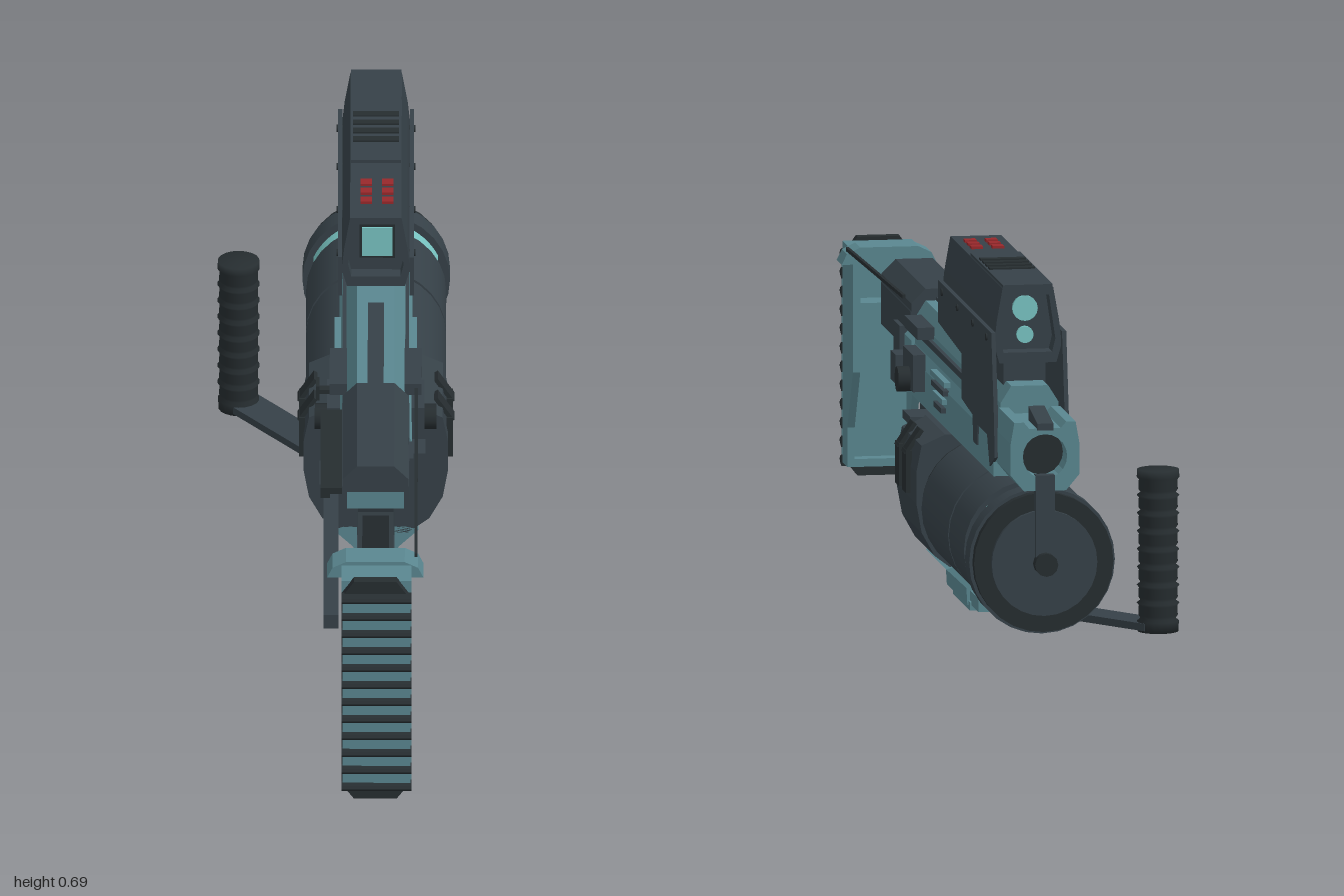
import * as THREE from 'three';

const CX = 0.075; // centre line of the launcher

export function createModel() {
  const root = new THREE.Group();
  root.name = 'launcher';
  const mat = (name, color) => {
    const m = new THREE.MeshStandardMaterial({ color });
    m.name = name;
    return m;
  };
  const dark = mat('dark slate', 0x364148);
  const black = mat('black rubber', 0x262d30);
  const blue = mat('steel blue', 0x5a8790);
  const teal = mat('bright teal', 0x78c4c2);
  const red = mat('signal red', 0x98282b);

  const add = (name, geo, m) => {
    const mesh = new THREE.Mesh(geo, m);
    mesh.name = name;
    root.add(mesh);
    return mesh;
  };
  const toShape = (pts) => new THREE.Shape(pts.map(([a, b]) => new THREE.Vector2(a, b)));
  const extrude = (shape, depth) =>
    new THREE.ExtrudeGeometry(shape, { depth, bevelEnabled: false, curveSegments: 10 });
  // box given by its limits
  const box = (name, x0, x1, y0, y1, z0, z1, m) => {
    const g = new THREE.BoxGeometry(x1 - x0, y1 - y0, z1 - z0);
    g.translate((x0 + x1) / 2, (y0 + y1) / 2, (z0 + z1) / 2);
    return add(name, g, m);
  };
  // outline in (z, y), extruded across x
  const side = (name, pts, x0, x1, m) => {
    const g = extrude(toShape(pts), x1 - x0);
    g.rotateY(-Math.PI / 2);
    g.translate(x1, 0, 0);
    return add(name, g, m);
  };
  // outline in (x, y), extruded along z
  const along = (name, pts, z0, z1, m, hole) => {
    const s = toShape(pts);
    if (hole) s.holes.push(hole);
    const g = extrude(s, z1 - z0);
    g.translate(0, 0, z0);
    return add(name, g, m);
  };
  // half outline given as (offset from centre line, y), mirrored
  const mirror = (half) => [
    ...half.map(([x, y]) => [CX + x, y]),
    ...half.slice().reverse().map(([x, y]) => [CX - x, y]),
  ];
  // cylinder lying along z
  const zCyl = (name, r, z0, z1, x, y, m, n = 28) => {
    const g = new THREE.CylinderGeometry(r, r, z1 - z0, n);
    g.rotateX(Math.PI / 2);
    g.translate(x, y, (z0 + z1) / 2);
    return add(name, g, m);
  };
  const xCyl = (name, r, x0, x1, y, z, m, n = 12) => {
    const g = new THREE.CylinderGeometry(r, r, x1 - x0, n);
    g.rotateZ(Math.PI / 2);
    g.translate((x0 + x1) / 2, y, z);
    return add(name, g, m);
  };

  // butt stock: hollow shell open toward the muzzle
  const buttSide = [[0.965, 0.07], [0.91, 0.07], [0.91, 0.145], [0.845, 0.26], [0.845, 0.49], [0.965, 0.49]];
  side('buttSideRight', buttSide, 0.012, 0.026, blue);
  side('buttSideLeft', buttSide, 0.129, 0.143, blue);
  box('buttBack', 0.026, 0.129, 0.07, 0.49, 0.94, 0.965, blue);
  box('buttTop', 0.026, 0.129, 0.472, 0.49, 0.845, 0.94, blue);
  box('buttBottom', 0.026, 0.129, 0.07, 0.085, 0.91, 0.94, blue);
  box('buttRib', 0.026, 0.129, 0.335, 0.385, 0.88, 0.94, blue);
  along('buttCap', mirror([[0.09, 0.465], [0.08, 0.485], [0.055, 0.497]]), 0.84, 0.9, blue);

  // ribbed butt pad
  along('buttPad', mirror([[0.04, 0.045], [0.063, 0.075], [0.063, 0.465], [0.04, 0.497]]), 0.963, 0.984, black);
  for (let i = 0; i < 12; i++) {
    const y = 0.072 + i * 0.0355;
    side('padRib', [[0.98, y - 0.011], [0.996, y - 0.005], [1, y], [0.996, y + 0.005], [0.98, y + 0.011]], 0.012, 0.143, black);
    if (i < 11) box('padStripe', 0.014, 0.141, y + 0.005, y + 0.031, 0.982, 0.988, blue);
  }

  // stock rods
  box('stockRod', -0.022, 0.006, 0.348, 0.376, 0.2, 0.88, dark);
  box('stockRodClamp', -0.03, 0.02, 0.34, 0.385, 0.25, 0.35, dark);
  side('stockWire', [[0.86, 0.488], [0.86, 0.495], [0.2, 0.512], [0.2, 0.505]], 0.148, 0.154, black);

  // rear slide cover
  along('slideTop', mirror([[0.062, 0.47], [0.062, 0.495], [0.035, 0.522]]), 0.2, 0.55, dark);
  side('slideSkirtLeft', [[0.55, 0.4], [0.38, 0.4], [0.34, 0.44], [0.2, 0.44], [0.2, 0.48], [0.55, 0.48]], 0.128, 0.138, dark);
  side('slideSkirtRight', [[0.55, 0.4], [0.38, 0.4], [0.34, 0.44], [0.2, 0.44], [0.2, 0.48], [0.55, 0.48]], 0.012, 0.022, dark);
  box('slideRail', -0.028, 0.014, 0.44, 0.452, 0.17, 0.5, black);
  for (let i = 0; i < 9; i++) box('railTooth', -0.028, -0.01, 0.425, 0.441, 0.19 + i * 0.035, 0.208 + i * 0.035, black);

  // receiver
  along('receiverUpper', mirror([[0.068, 0.33], [0.068, 0.4], [0.055, 0.42], [0.055, 0.468], [0.035, 0.5]]), -0.8, 0.2, blue);
  along('receiverRear', mirror([[0.062, 0.33], [0.062, 0.425], [0.045, 0.44]]), 0.2, 0.34, blue);
  box('receiverRearCap', 0.004, 0.146, 0.37, 0.44, 0.28, 0.352, dark);
  box('topGroove', 0.06, 0.09, 0.498, 0.506, -0.17, 0.2, dark);
  for (const s of [-1, 1]) {
    const a = CX + s * 0.058;
    box('sideGroove', a - 0.004, a + 0.004, 0.446, 0.458, -0.42, 0.2, dark);
    const b = CX + s * 0.079;
    box('rearHousing', b - 0.014, b + 0.014, 0.345, 0.4, 0.19, 0.25, dark);
    box('sideLatch', b - 0.012, b + 0.012, 0.36, 0.43, 0, 0.12, dark);
    xCyl('latchKnob', 0.024, CX + s * 0.1 - 0.014, CX + s * 0.1 + 0.014, 0.378, 0.05, black);
    box('topLever', CX + s * 0.07 - 0.016, CX + s * 0.07 + 0.016, 0.462, 0.485, -0.02, 0.13, dark);
    for (let i = 0; i < 4; i++) {
      const x = CX + s * 0.071;
      box('sideVent', x - 0.006, x + 0.006, 0.358 + i * 0.018, 0.368 + i * 0.018, -0.24 - i * 0.012, -0.15 + i * 0.012, i % 2 ? blue : dark);
    }
  }
  box('crossPin', -0.035, 0.02, 0.454, 0.462, 0.09, 0.11, black);
  box('crossPinHead', -0.037, -0.03, 0.445, 0.475, 0.08, 0.12, black);

  // muzzle block with bore
  const bore = new THREE.Path().absarc(CX, 0.395, 0.042, 0, Math.PI * 2, true);
  along('muzzleBlock', mirror([[0.04, 0.33], [0.065, 0.36], [0.065, 0.42], [0.058, 0.46], [0.04, 0.46], [0.03, 0.448]]), -0.98, -0.8, blue, bore);
  zCyl('boreLining', 0.043, -0.93, -0.8, CX, 0.395, black, 16);
  side('frontSight', [[-0.88, 0.445], [-0.985, 0.445], [-0.985, 0.458], [-0.88, 0.475]], 0.06, 0.09, dark);

  // sight housing with side plates
  const hood = mirror([[0.054, 0.54], [0.064, 0.575], [0.059, 0.62], [0.048, 0.682]]);
  const opening = new THREE.Path(mirror([[0.046, 0.56], [0.052, 0.585], [0.047, 0.62], [0.04, 0.668]])
    .map(([x, y]) => new THREE.Vector2(x, y)));
  along('sightBody', hood, -0.74, -0.2, dark);
  along('sightRearHood', hood, -0.2, -0.17, dark, opening);
  along('sightFrontHood', hood, -0.78, -0.74, dark, opening);
  box('sightRoof', 0.028, 0.122, 0.68, 0.688, -0.78, -0.4, dark);
  box('sightBase', 0.035, 0.115, 0.49, 0.545, -0.74, -0.42, dark);
  const plate = [[-0.17, 0.52], [-0.17, 0.6], [-0.79, 0.6], [-0.82, 0.45], [-0.83, 0.37], [-0.77, 0.345], [-0.74, 0.4],
    [-0.63, 0.4], [-0.62, 0.36], [-0.58, 0.36], [-0.57, 0.41], [-0.44, 0.42], [-0.44, 0.505]];
  for (const s of [-1, 1]) {
    const x = CX + s * 0.067;
    side('sightSidePlate', plate, x - 0.004, x + 0.004, dark);
    for (const z of [-0.22, -0.4, -0.58, -0.74]) xCyl('plateBolt', 0.007, x - 0.007, x + 0.007, 0.585, z, black, 8);
  }
  box('eyepieceFrame', 0.044, 0.111, 0.59, 0.66, -0.205, -0.188, black);
  box('eyepieceLens', 0.049, 0.106, 0.596, 0.654, -0.19, -0.184, teal);
  zCyl('frontLensUpper', 0.024, -0.748, -0.738, CX, 0.638, teal, 16);
  zCyl('frontLensLower', 0.016, -0.748, -0.738, CX, 0.588, teal, 16);
  for (let i = 0; i < 3; i++)
    for (const x of [0.057, 0.097]) box('sightButton', x - 0.011, x + 0.011, 0.678, 0.687, -0.325 + i * 0.037, -0.303 + i * 0.037, red);
  for (let i = 0; i < 4; i++) box('roofRib', 0.032, 0.118, 0.686, 0.691, -0.6 + i * 0.035, -0.582 + i * 0.035, black);

  // drum under the receiver
  along('drumRear', mirror([[0.06, 0.07], [0.1, 0.1], [0.125, 0.145], [0.135, 0.2], [0.135, 0.26], [0.125, 0.31], [0.08, 0.33]]), -0.31, -0.08, dark);
  zCyl('drumSeam', 0.124, -0.345, -0.31, CX, 0.197, black);
  zCyl('drumBody', 0.131, -0.655, -0.345, CX, 0.197, dark);
  zCyl('drumBand', 0.126, -0.665, -0.655, CX, 0.197, black);
  zCyl('drumFront', 0.131, -0.84, -0.665, CX, 0.197, dark);
  zCyl('drumNeck', 0.122, -0.9, -0.84, CX, 0.192, black);
  zCyl('drumRim', 0.138, -0.945, -0.895, CX, 0.192, dark);
  zCyl('drumRimEdge', 0.132, -0.965, -0.945, CX, 0.192, black);
  zCyl('drumCap', 0.1, -0.975, -0.96, CX, 0.192, dark);
  zCyl('capHub', 0.022, -1, -0.97, CX, 0.192, black, 12);
  box('capBracket', 0.057, 0.093, 0.19, 0.36, -0.985, -0.965, dark);
  for (let i = 0; i < 4; i++) {
    const g = new THREE.CylinderGeometry(0.128, 0.128, 0.03, 8, 1, false, i * Math.PI / 2 + 0.45, 0.7);
    g.rotateX(Math.PI / 2);
    g.translate(CX, 0.192, -0.87);
    add('drumGlowSlot', g, teal);
  }

  // drum clips
  for (const s of [-1, 1]) {
    for (const z of [-0.14, -0.22]) {
      const x = CX + s * 0.138;
      box('drumClip', x - 0.006, x + 0.006, 0.21, 0.29, z - 0.022, z + 0.022, black);
      const g = new THREE.BoxGeometry(0.008, 0.055, 0.036);
      g.rotateZ(s * 0.6);
      g.translate(CX + s * 0.128, 0.305, z);
      add('drumClipHook', g, black);
    }
    const x = CX + s * 0.085;
    box('drumRearBar', x - 0.026, x + 0.026, 0.312, 0.328, -0.09, 0, dark);
  }

  // underside cradle
  along('cradle', mirror([[0.04, 0.008], [0.042, 0.04], [0.08, 0.076], [0.06, 0.082]]), -0.32, -0.08, blue);
  box('cradleFoot', 0.037, 0.113, 0, 0.016, -0.34, -0.14, blue);
  box('cradleTongue', 0.04, 0.11, 0.01, 0.035, -0.42, -0.3, blue);

  // folding arm and ribbed side grip
  const dx = -0.255, dz = -0.34;
  const arm = new THREE.BoxGeometry(0.07, 0.014, Math.hypot(dx, dz));
  arm.rotateY(Math.atan2(dx, dz));
  arm.translate(CX + dx / 2, 0.026, -0.38 + dz / 2);
  add('gripArm', arm, dark);
  const profile = [[0, 0.015], [0.038, 0.015], [0.039, 0.035]];
  for (let i = 0; i < 8; i++) {
    const y = 0.04 + i * 0.034;
    profile.push([0.033, y], [0.037, y + 0.006], [0.036, y + 0.024], [0.04, y + 0.029]);
  }
  profile.push([0.039, 0.322], [0, 0.322]);
  const grip = new THREE.LatheGeometry(profile.map(([r, y]) => new THREE.Vector2(r, y)), 18);
  grip.translate(-0.182, 0, -0.715);
  add('sideGrip', grip, black);

  // pistol grip, guard and trigger
  side('pistolGrip', [[0.31, 0.05], [0.225, 0.055], [0.185, 0.3], [0.18, 0.335], [0.29, 0.335], [0.275, 0.29]], 0.042, 0.108, dark);
  side('gripBackstrap', [[0.314, 0.055], [0.302, 0.055], [0.27, 0.28], [0.28, 0.285]], 0.05, 0.1, black);
  side('guardBar', [[0.31, 0.05], [0.02, 0.05], [-0.02, 0.06], [-0.02, 0.078], [0.24, 0.068]], 0.05, 0.1, dark);
  side('guardFront', [[0, 0.055], [-0.08, 0.055], [-0.08, 0.335], [-0.01, 0.335], [-0.025, 0.25], [-0.03, 0.09]], 0.04, 0.11, dark);
  box('triggerHousing', 0.04, 0.11, 0.305, 0.335, -0.02, 0.2, dark);
  box('guardSidePlate', -0.022, 0.042, 0.26, 0.31, -0.08, -0.02, dark);
  side('trigger', [[0.13, 0.31], [0.17, 0.31], [0.165, 0.27], [0.172, 0.235], [0.155, 0.23], [0.148, 0.27]], 0.064, 0.088, red);
  zCyl('safetyButton', 0.015, 0.12, 0.17, 0.002, 0.31, red, 12);
  box('safetyMount', -0.012, 0.045, 0.3, 0.33, 0.1, 0.122, dark);

  return root;
}
